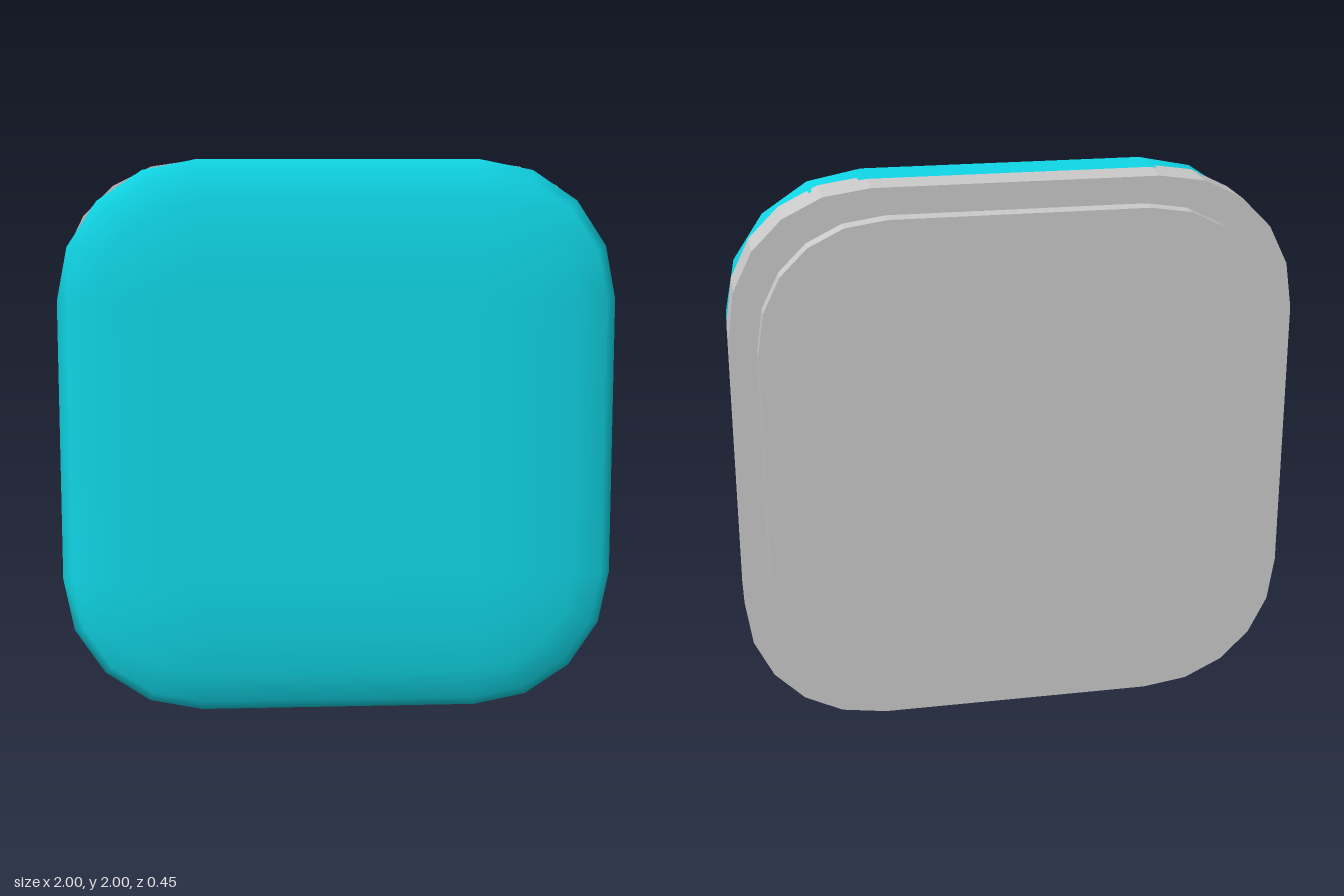
import * as THREE from 'three';

const CORNER_STEPS = 4;

// Rounded square plate extruded along z, with five facets per corner
function plate(name, half, zBack, zFront, material) {
  const c = half * 0.5, k = half * 0.79; // corner start and curve handle
  const s = new THREE.Shape();
  s.moveTo(c, -half);
  s.bezierCurveTo(k, -half, half, -k, half, -c);
  s.lineTo(half, c);
  s.bezierCurveTo(half, k, k, half, c, half);
  s.lineTo(-c, half);
  s.bezierCurveTo(-k, half, -half, k, -half, c);
  s.lineTo(-half, -c);
  s.bezierCurveTo(-half, -k, -k, -half, -c, -half);
  s.closePath();
  const geo = new THREE.ExtrudeGeometry(s, { depth: zFront - zBack, bevelEnabled: false, curveSegments: 5 });
  const mesh = new THREE.Mesh(geo, material);
  mesh.name = name;
  mesh.position.set(0, 1, zBack);
  return mesh;
}

// Pillow: a box whose corners are flattened sphere octants
function pillowGeometry(half, radius, wall, bulge) {
  const pos = [], nor = [], idx = [];
  const core = half - radius, cols = 4 * (CORNER_STEPS + 1);
  const rows = 2 * (CORNER_STEPS + 1);
  for (let r = 0; r < rows; r++) {
    const front = r > CORNER_STEPS;
    const step = front ? r - CORNER_STEPS - 1 : r - CORNER_STEPS;
    const phi = (step / CORNER_STEPS) * Math.PI / 2;
    const cos = Math.cos(phi), sin = Math.sin(phi);
    for (let q = 0; q < 4; q++) {
      const mid = (q + 0.5) * Math.PI / 2;
      const cx = Math.sign(Math.cos(mid)) * core, cy = Math.sign(Math.sin(mid)) * core;
      for (let i = 0; i <= CORNER_STEPS; i++) {
        const a = (q + i / CORNER_STEPS) * Math.PI / 2;
        pos.push(cx + radius * cos * Math.cos(a), cy + radius * cos * Math.sin(a),
          (front ? wall : -wall) / 2 + bulge * sin);
        const n = new THREE.Vector3(cos * Math.cos(a) / radius, cos * Math.sin(a) / radius, sin / bulge).normalize();
        nor.push(n.x, n.y, n.z);
      }
    }
  }
  for (let r = 0; r < rows - 1; r++) {
    for (let j = 0; j < cols; j++) {
      const a = r * cols + j, b = r * cols + (j + 1) % cols;
      idx.push(a, b, b + cols, a, b + cols, a + cols);
    }
  }
  // flat front and back faces
  const n = CORNER_STEPS + 1, f = (rows - 1) * cols;
  idx.push(f, f + n, f + 2 * n, f, f + 2 * n, f + 3 * n);
  idx.push(0, 2 * n, n, 0, 3 * n, 2 * n);
  const geo = new THREE.BufferGeometry();
  geo.setAttribute('position', new THREE.Float32BufferAttribute(pos, 3));
  geo.setAttribute('normal', new THREE.Float32BufferAttribute(nor, 3));
  geo.setIndex(idx);
  return geo;
}

export function createModel() {
  const group = new THREE.Group();
  group.name = 'roundedTile';
  const grey = new THREE.MeshStandardMaterial({ color: 0xcccccc, flatShading: true });
  const cyan = new THREE.MeshStandardMaterial({ color: 0x10d8e8 });

  // grey housing and the smaller plate behind it
  group.add(plate('housing', 1, -0.16, 0.02, grey));
  group.add(plate('backPlate', 0.905, -0.225, -0.16, grey));

  // coloured front cushion, sunk into the housing
  const cushion = new THREE.Mesh(pillowGeometry(0.997, 0.495, 0.16, 0.085), cyan);
  cushion.name = 'frontCushion';
  cushion.position.set(0, 1.004, 0.06);
  group.add(cushion);
  return group;
}
